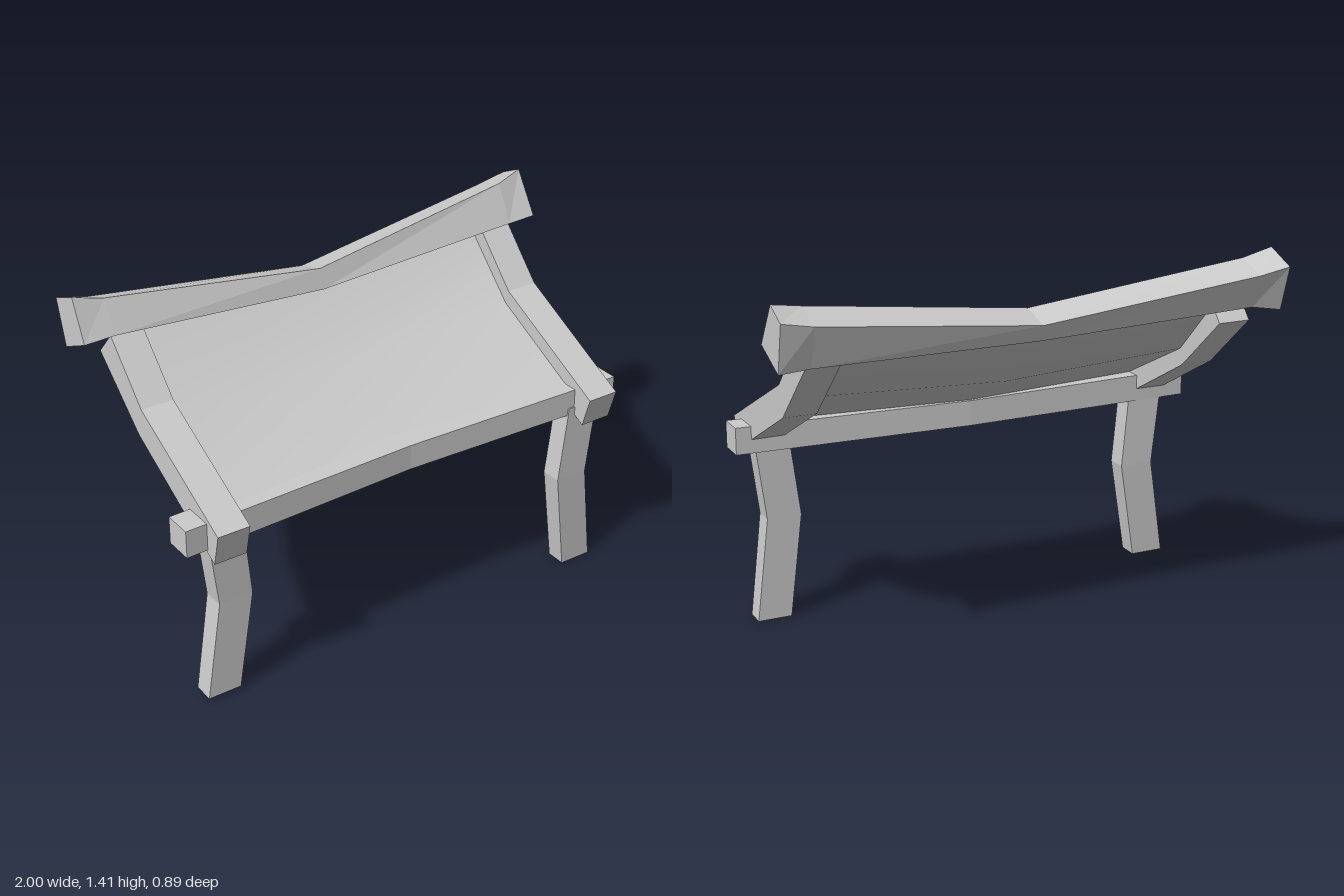
import * as THREE from 'three';

const material = new THREE.MeshStandardMaterial({ color: 0xcccccc, flatShading: true });

// Timber lofted through four-cornered sections [x, y, z], capped at both ends
function timber(name, sections) {
  const pos = [];
  const quad = (a, b, c, d) => pos.push(...a, ...b, ...c, ...a, ...c, ...d);
  for (let s = 0; s < sections.length - 1; s++) {
    const p = sections[s], q = sections[s + 1];
    for (let i = 0; i < 4; i++) {
      const j = (i + 1) % 4;
      quad(p[i], p[j], q[j], q[i]);
    }
  }
  const first = sections[0], last = sections[sections.length - 1];
  quad(first[3], first[2], first[1], first[0]);
  quad(...last);

  // Turn the faces outward if the enclosed volume comes out negative
  let volume = 0;
  const v = (i) => new THREE.Vector3().fromArray(pos, i);
  for (let i = 0; i < pos.length; i += 9) volume += v(i).dot(v(i + 3).cross(v(i + 6)));
  if (volume < 0) {
    for (let i = 0; i < pos.length; i += 9) {
      for (let k = 0; k < 3; k++) [pos[i + 3 + k], pos[i + 6 + k]] = [pos[i + 6 + k], pos[i + 3 + k]];
    }
  }
  const geometry = new THREE.BufferGeometry();
  geometry.setAttribute('position', new THREE.Float32BufferAttribute(pos, 3));
  geometry.computeVertexNormals();
  const mesh = new THREE.Mesh(geometry, material);
  mesh.name = name;
  return mesh;
}

// Bent leg: levels of [y, xMin, xMax, zBack, zFront]
function leg(name, levels) {
  return timber(name, levels.map(([y, x0, x1, z0, z1]) =>
    [[x0, y, z0], [x1, y, z0], [x1, y, z1], [x0, y, z1]]));
}

// Bent side rail: stations of [zTop, yTop, zBottom, yBottom]
function rail(name, x0, x1, stations) {
  return timber(name, stations.map(([zt, yt, zb, yb]) =>
    [[x0, yt, zt], [x1, yt, zt], [x1, yb, zb], [x0, yb, zb]]));
}

// Timber running across: stations of x with four [z, y] corners
function crossTimber(name, stations) {
  return timber(name, stations.map(([x, ...corners]) => corners.map(([z, y]) => [x, y, z])));
}

// Thin backrest sheet, bent along its length and sagging toward the middle
function backPanel() {
  const path = [[0.32, 0.785], [-0.085, 0.985], [-0.32, 1.22]];
  const geometry = new THREE.PlaneGeometry(1.6, 1, 2, 2);
  const p = geometry.attributes.position;
  for (let i = 0; i < p.count; i++) {
    const [z, y] = path[Math.round((p.getY(i) + 0.5) * 2)];
    const sag = 0.04 * (1 - Math.abs(p.getX(i)) / 0.8);
    p.setXYZ(i, p.getX(i), y - sag, z);
  }
  geometry.computeVertexNormals();
  const mesh = new THREE.Mesh(geometry,
    new THREE.MeshStandardMaterial({ color: 0xcccccc, side: THREE.DoubleSide }));
  mesh.name = 'backPanel';
  return mesh;
}

export function createModel() {
  const model = new THREE.Group();
  model.name = 'backrest';

  // Legs
  model.add(leg('leftLeg', [
    [0, 0.74, 0.875, 0.28, 0.36],
    [0.41, 0.688, 0.825, 0.28, 0.365],
    [0.72, 0.727, 0.865, 0.28, 0.363],
  ]));
  model.add(leg('rightLeg', [
    [0.015, -0.89, -0.755, 0.247, 0.33],
    [0.41, -0.83, -0.692, 0.243, 0.33],
    [0.72, -0.87, -0.725, 0.25, 0.335],
  ]));

  // Lower beam, bowed toward the back in the middle
  const beamSection = (x, back, front, low, high) =>
    [x, [front, high], [back, high], [back, low], [front, low]];
  model.add(crossTimber('lowerBeam', [
    beamSection(-0.97, 0.25, 0.365, 0.682, 0.79),
    beamSection(0, 0.222, 0.33, 0.686, 0.787),
    beamSection(0.945, 0.255, 0.365, 0.69, 0.795),
  ]));

  // Side rails
  model.add(rail('leftSideRail', 0.755, 0.885, [
    [0.447, 0.785, 0.41, 0.662],
    [-0.07, 1.04, -0.1, 0.925],
    [-0.265, 1.245, -0.35, 1.172],
  ]));
  model.add(rail('rightSideRail', -0.885, -0.755, [
    [0.435, 0.772, 0.405, 0.645],
    [-0.07, 1.035, -0.1, 0.92],
    [-0.27, 1.245, -0.36, 1.145],
  ]));

  model.add(backPanel());

  // Top rail with raised, flared ends
  model.add(crossTimber('topRail', [
    [-1, [-0.318, 1.407], [-0.447, 1.355], [-0.395, 1.18], [-0.245, 1.25]],
    [-0.88, [-0.31, 1.375], [-0.435, 1.33], [-0.385, 1.2], [-0.245, 1.253]],
    [0, [-0.265, 1.267], [-0.39, 1.23], [-0.36, 1.165], [-0.24, 1.19]],
    [0.88, [-0.31, 1.38], [-0.435, 1.335], [-0.39, 1.178], [-0.235, 1.235]],
    [1, [-0.338, 1.403], [-0.434, 1.358], [-0.395, 1.172], [-0.233, 1.24]],
  ]));

  return model;
}
